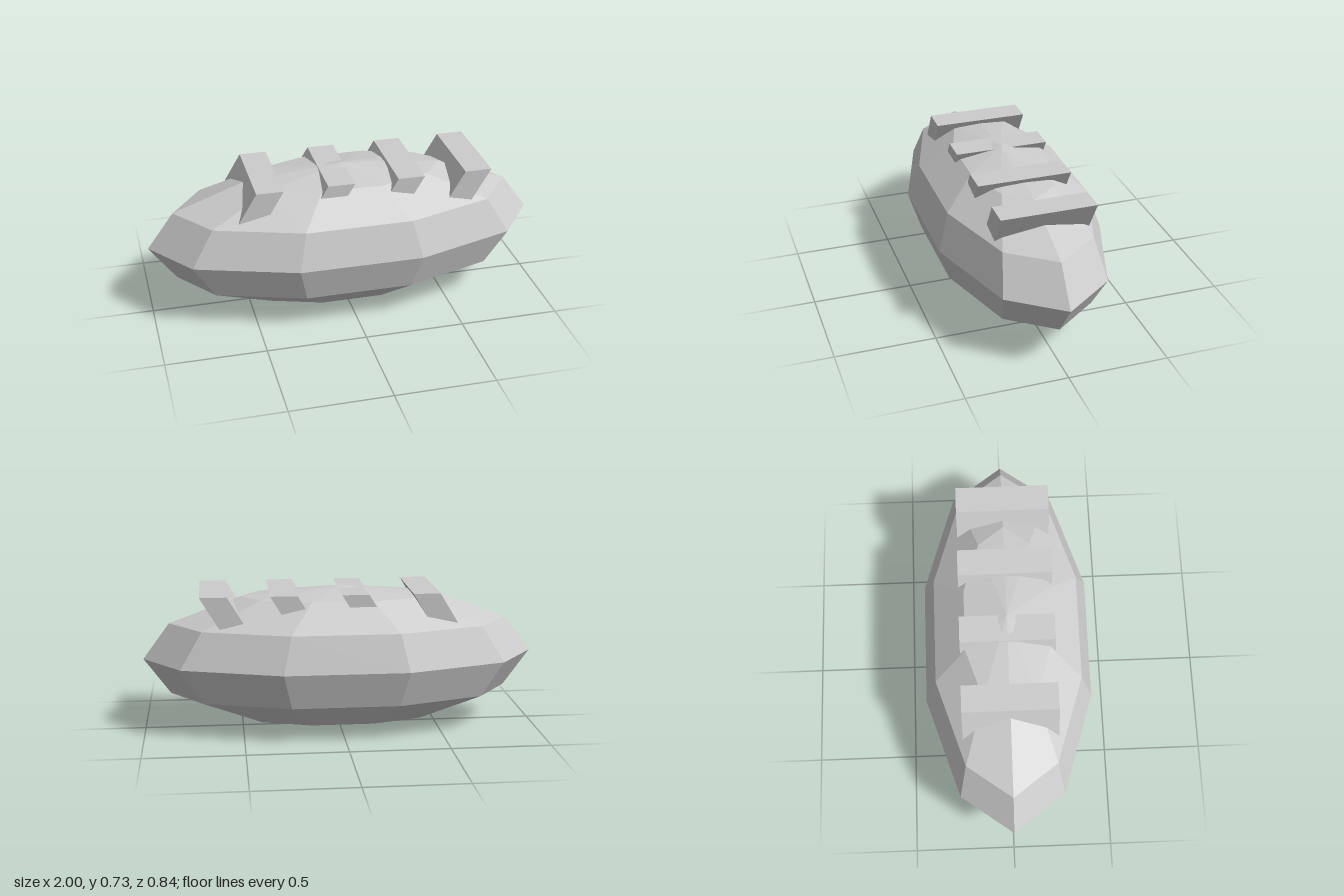
import * as THREE from 'three';

export function createModel() {
  const group = new THREE.Group();
  const grey = new THREE.MeshStandardMaterial({ color: 0xcccccc, flatShading: true });
  grey.name = 'light grey';

  // Faceted, stretched ball body
  const bodyGeometry = new THREE.SphereGeometry(1, 10, 6);
  bodyGeometry.scale(1, 0.365, 0.44);
  const body = new THREE.Mesh(bodyGeometry, grey);
  body.name = 'body';
  body.position.y = 0.365;
  group.add(body);

  // Four leaning bars across the top, sunk into the body
  const top = 0.72, depth = 0.22, width = 0.135, lean = 0.6;
  [-0.415, -0.06, 0.295, 0.641].forEach((x, i) => {
    const geometry = new THREE.BoxGeometry(width, depth, 0.47);
    geometry.translate(0, -depth / 2, 0);
    geometry.applyMatrix4(new THREE.Matrix4().set(
      1, lean, 0, 0,
      0, 1, 0, 0,
      0, 0, 1, 0,
      0, 0, 0, 1));
    const bar = new THREE.Mesh(geometry, grey);
    bar.name = `topBar${i + 1}`;
    bar.position.set(x, top, 0);
    group.add(bar);
  });

  return group;
}
